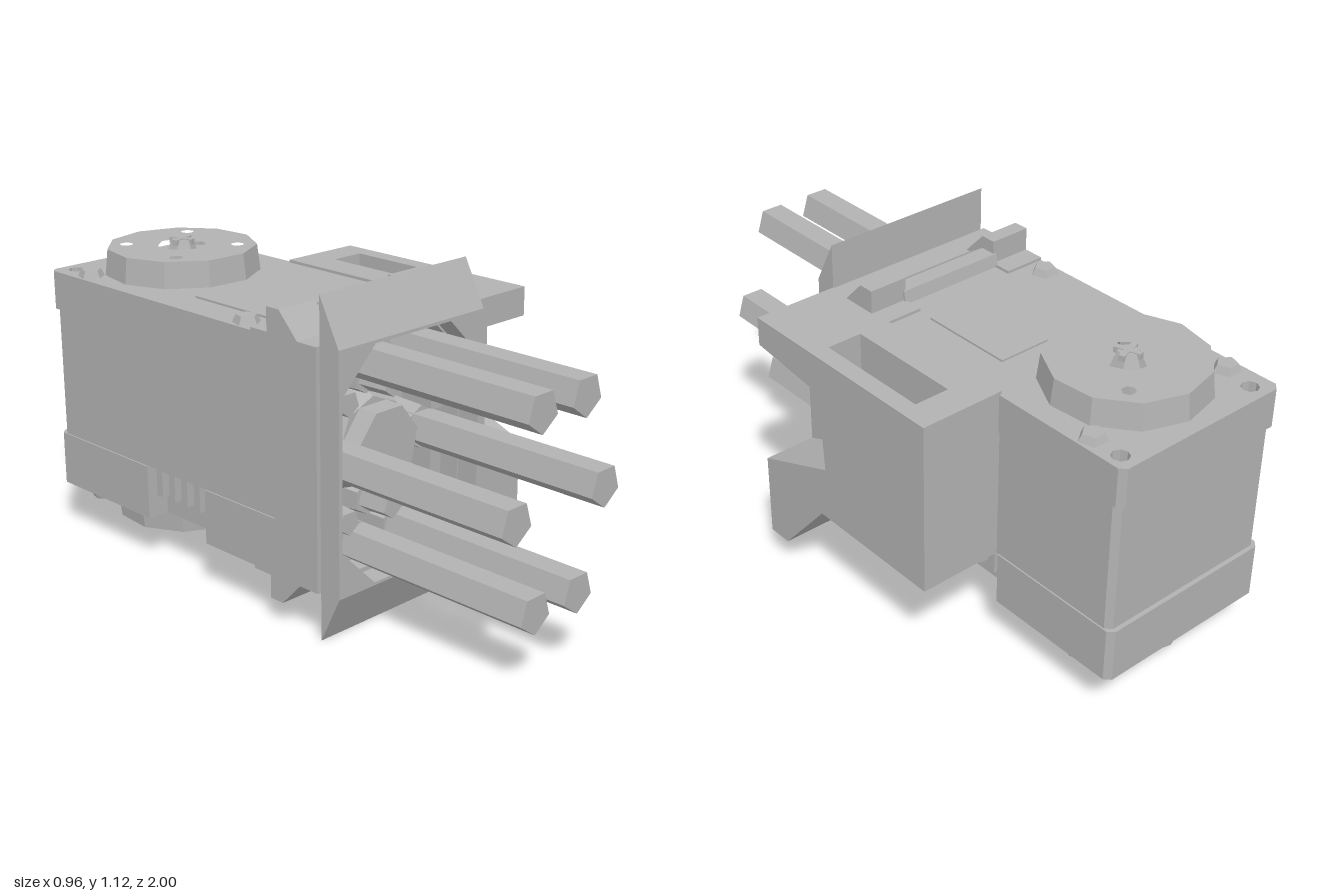
import * as THREE from 'three';

export function createModel() {
  const model = new THREE.Group();
  const grey = new THREE.MeshStandardMaterial({ color: 0xb2b2b2 });
  grey.name = 'grey plastic';

  // Adds a faceted mesh
  const add = (name, geo) => {
    const g = geo.index ? geo.toNonIndexed() : geo;
    g.computeVertexNormals();
    const mesh = new THREE.Mesh(g, grey);
    mesh.name = name;
    model.add(mesh);
    return mesh;
  };
  const box = (name, x0, x1, y0, y1, z0, z1) =>
    add(name, new THREE.BoxGeometry(x1 - x0, y1 - y0, z1 - z0)
      .translate((x0 + x1) / 2, (y0 + y1) / 2, (z0 + z1) / 2));
  const poly = (pts) => pts.map(([a, b]) => new THREE.Vector2(a, b));
  const ring = (x, y, r, n, turn = 0) => Array.from({ length: n }, (_, i) => {
    const t = turn + i / n * Math.PI * 2;
    return [x + r * Math.cos(t), y + r * Math.sin(t)];
  });
  const extrude = (pts, holes, depth) => {
    const s = new THREE.Shape(poly(pts));
    holes.forEach((h) => s.holes.push(new THREE.Path(poly(h))));
    return new THREE.ExtrudeGeometry(s, { depth, bevelEnabled: false });
  };
  const flip = (pts) => pts.map(([x, z]) => [x, -z]);
  // Plan outline (x, z) raised from y0 to y1
  const slab = (pts, holes, y0, y1) =>
    extrude(flip(pts), holes.map(flip), y1 - y0).rotateX(-Math.PI / 2).translate(0, y0, 0);
  // Side outline (z, y) swept from x0 to x1
  const side = (pts, x0, x1) =>
    extrude(pts.map(([z, y]) => [-z, y]), [], x1 - x0).rotateY(Math.PI / 2).translate(x0, 0, 0);
  // Cylinder along z
  const rod = (name, x, y, z0, z1, rBack, rFront, n) =>
    add(name, new THREE.CylinderGeometry(rFront, rBack, z1 - z0, n)
      .rotateX(Math.PI / 2).translate(x, y, (z0 + z1) / 2));

  // Housing, built in layers with screw holes running through the corners
  const bolts = [[-0.41, 0.08], [0.13, 0.08], [-0.41, -0.94], [0.14, -0.94]];
  const holes = bolts.map(([x, z]) => ring(x, z, 0.03, 8));
  const block = (l, r, back) => [[l, 0.14], [r, 0.14], [r, back + 0.02], [r - 0.02, back],
    [l + 0.02, back], [l, back + 0.02]];
  const notched = [[-0.48, 0.14], [0.19, 0.14], [0.19, -0.2], [0.11, -0.2], [0.11, -0.5], [0.19, -0.5],
    [0.19, -0.98], [0.17, -1], [-0.46, -1], [-0.48, -0.98], [-0.48, -0.5], [-0.4, -0.5],
    [-0.4, -0.2], [-0.48, -0.2]];
  add('lowerHousing', slab(notched, holes, 0.17, 0.36));
  add('middleHousing', slab(block(-0.475, 0.185, -0.985), holes, 0.36, 0.82));
  add('upperHousing', slab(block(-0.48, 0.19, -1), holes, 0.82, 0.955));
  box('rearTab', -0.23, -0.07, 0.21, 0.27, -1.0, -0.993);
  box('topPanel', -0.36, 0.06, 0.95, 0.962, -0.36, -0.02);

  // Cooling ribs in the side notches
  for (let i = 0; i < 4; i++) {
    const z = -0.26 - i * 0.065;
    box('leftRib', 0.1, 0.175, 0.26, 0.36, z - 0.015, z + 0.015);
    box('rightRib', -0.465, -0.39, 0.26, 0.36, z - 0.015, z + 0.015);
  }

  // Output discs above and below
  const cx = -0.15, cz = -0.68;
  const discHoles = [...[45, 135, 225, 315].map((d) => {
    const t = d * Math.PI / 180;
    return ring(cx + 0.2 * Math.cos(t), cz + 0.2 * Math.sin(t), 0.025, 6);
  }), ring(cx, cz, 0.09, 7)];
  const disc = (name, upper) => {
    const g = slab(ring(cx, cz, 0.27, 11, 0.2), discHoles, 0.95, 1.045);
    const p = g.attributes.position;
    for (let i = 0; i < p.count; i++) if (p.getY(i) > 1) {
      p.setX(i, cx + (p.getX(i) - cx) * 0.96);
      p.setZ(i, cz + (p.getZ(i) - cz) * 0.96);
    }
    const hub = new THREE.CylinderGeometry(0.035, 0.08, 0.11, 6).translate(cx, 1.01, cz);
    const slots = [0, Math.PI / 2].map((a) =>
      new THREE.BoxGeometry(0.09, 0.02, 0.02).rotateY(a + 0.3).translate(cx, 1.058, cz));
    [g, hub, ...slots].forEach((part, i) => {
      const m = add(i ? name + 'Screw' : name, upper ? part : part.rotateZ(Math.PI).translate(2 * cx, 1.12, 0));
      return m;
    });
  };
  disc('topDisc', true);
  disc('bottomDisc', false);

  // Corner screws and front bosses, mirrored top and bottom
  const mirrorY = (g, low) => low ? g.rotateZ(Math.PI).translate(-0.29, 1.125, 0) : g;
  for (const low of [false, true]) {
    for (const [x, z] of [[-0.43, -0.83], [0.14, -0.83], [-0.43, -0.03]]) {
      add('cornerScrew', mirrorY(new THREE.CylinderGeometry(0.035, 0.05, 0.03, 5)
        .translate(x, 0.965, z), low));
    }
    const prof = [[0.04, 0.94], [0.27, 0.94], [0.17, 1.045], [0.115, 1.045], [0.115, 0.965], [0.04, 0.965]];
    add('rightBoss', mirrorY(side(prof, -0.48, -0.33), low));
    add('leftBoss', mirrorY(side(prof, 0.05, 0.19), low));
    add('frontRidge', mirrorY(side([[0.1, 0.94], [0.27, 0.94], [0.17, 1.0], [0.11, 1.0]], -0.34, 0.06), low));
  }

  // Connector shell and flared flange around an eight-sided opening
  const opening = (l, r, b, t, c) => [[l + c, b], [r - c, b], [r, b + c], [r, t - c],
    [r - c, t], [l + c, t], [l, t - c], [l, b + c]];
  const rect = (l, r, b, t) => [[l, b], [r, b], [r, t], [l, t]];
  add('connectorShell', extrude(rect(-0.48, 0.19, 0.165, 0.962),
    [opening(-0.445, 0.16, 0.19, 0.94, 0.13)], 0.19).translate(0, 0, 0.14));
  const flange = extrude(rect(-0.465, 0.18, 0, 1.12),
    [opening(-0.45, 0.165, 0.175, 0.955, 0.14)], 0.08).translate(0, 0, 0.33);
  const fp = flange.attributes.position;
  for (let i = 0; i < fp.count; i++) {
    if (fp.getZ(i) > 0.37) fp.setY(i, THREE.MathUtils.clamp(fp.getY(i), 0.165, 0.965));
  }
  add('flange', flange);

  // Long contact pins in their sleeves
  for (const [x, y] of [[-0.25, 0.87], [-0.05, 0.87], [-0.35, 0.56],
    [0.06, 0.56], [-0.25, 0.25], [-0.05, 0.25]]) {
    rod('contactPin', x, y, 0.13, 1, 0.068, 0.068, 5);
    rod('pinSleeve', x, y, 0.13, 0.26, 0.08, 0.075, 6);
  }
  // Short contacts
  for (const [x, y] of [[-0.145, 0.77], [-0.145, 0.36], [-0.34, 0.75],
    [0.05, 0.75], [-0.34, 0.36], [0.06, 0.36]]) {
    rod('shortContact', x, y, 0.13, 0.33, 0.05, 0.042, 5);
    rod('shortSleeve', x, y, 0.13, 0.22, 0.07, 0.06, 6);
  }
  for (const x of [-0.41, 0.12]) {
    for (const y of [0.29, 0.83]) rod('cornerContact', x, y, 0.13, 0.24, 0.035, 0.03, 6);
    for (const y of [0.44, 0.68]) box('keyRail', x - 0.025, x + 0.025, y - 0.07, y + 0.07, 0.13, 0.27);
  }
  for (const y of [0.21, 0.91]) box('keyBlock', -0.18, -0.11, y - 0.03, y + 0.03, 0.13, 0.28);
  // Central hub
  rod('hubSkirt', -0.145, 0.56, 0.13, 0.24, 0.21, 0.15, 8);
  rod('hub', -0.145, 0.56, 0.2, 0.31, 0.14, 0.135, 7);

  // Side bracket: inner wall, notched outer wall and the arms joining them
  const y1 = 0.965;
  add('bracketInnerWall', side([[-0.49, 0.36], [0.03, 0.36], [0.24, 0.12], [0.33, 0.12],
    [0.33, y1], [-0.49, y1]], 0.18, 0.295));
  add('bracketOuterWall', side([[-0.49, 0.36], [0.03, 0.36], [0.24, 0.12], [0.33, 0.12], [0.33, 0.42],
    [0.0, 0.55], [0.02, 0.83], [0.33, 0.865], [0.33, y1], [-0.49, y1]], 0.42, 0.482));
  add('bracketUpperArm', side([[0.04, 0.832], [0.33, 0.865], [0.33, y1], [0.04, y1]], 0.295, 0.42));
  add('bracketLowerArm', side([[0.04, 0.349], [0.24, 0.12], [0.33, 0.12], [0.33, 0.42],
    [0.04, 0.534]], 0.295, 0.42));
  box('bracketBackWall', 0.295, 0.42, 0.36, y1, -0.49, -0.38);
  return model;
}
